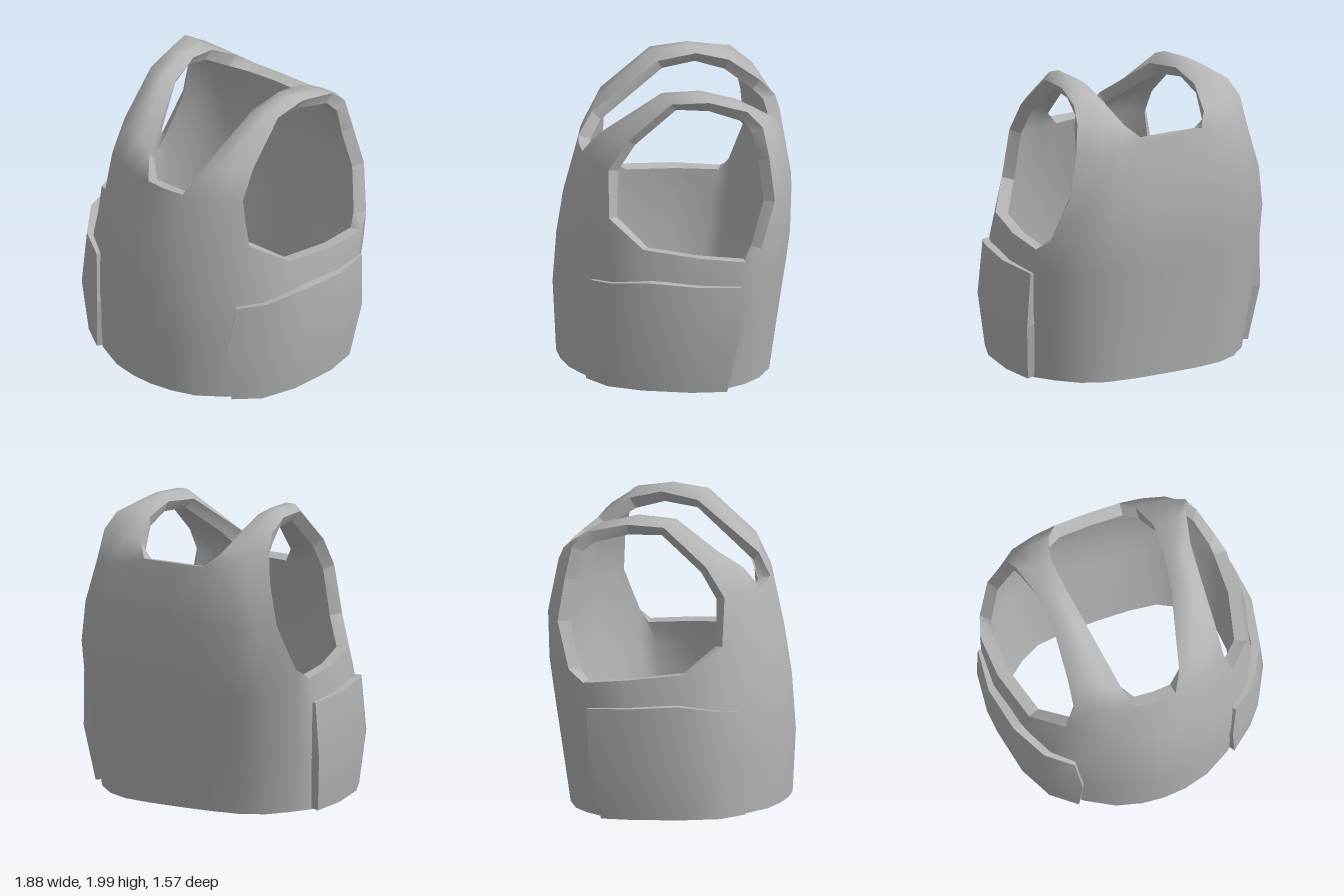
import * as THREE from 'three';

const fabric = new THREE.MeshStandardMaterial({ color: 0xb4b4b4 });
fabric.name = 'grey fabric';

// Cross-sections of the left half, each running from the middle outwards
const front = [
  [[0.15, 0.02, 0.755], [0.32, 0.02, 0.71], [0.5, 0.025, 0.61], [0.66, 0.03, 0.48]],
  [[0.16, 0.45, 0.775], [0.34, 0.45, 0.72], [0.54, 0.45, 0.61], [0.7, 0.45, 0.47]],
  [[0.16, 0.8, 0.75], [0.33, 0.8, 0.7], [0.53, 0.8, 0.59], [0.69, 0.8, 0.46]],
  [[0.15, 1.1, 0.705], [0.31, 1.12, 0.655], [0.46, 1.15, 0.58], [0.59, 1.18, 0.47]],
  [[0.14, 1.49, 0.605], [0.28, 1.49, 0.58], [0.41, 1.5, 0.54], [0.53, 1.5, 0.47]],
];
const strap = [
  [[0.2, 1.63, 0.51], [0.31, 1.69, 0.46], [0.43, 1.71, 0.43], [0.525, 1.7, 0.34]],
  [[0.31, 1.93, 0.06], [0.38, 1.98, 0.1], [0.45, 1.98, 0.1], [0.52, 1.95, 0.05]],
  [[0.35, 1.96, -0.2], [0.41, 2, -0.15], [0.47, 2, -0.15], [0.54, 1.96, -0.2]],
  [[0.36, 1.9, -0.42], [0.43, 1.94, -0.39], [0.52, 1.945, -0.4], [0.6, 1.91, -0.45]],
  [[0.31, 1.77, -0.62], [0.42, 1.8, -0.6], [0.53, 1.81, -0.59], [0.635, 1.81, -0.55]],
];
const back = [
  [[0.23, 1.69, -0.715], [0.38, 1.65, -0.71], [0.54, 1.6, -0.685], [0.67, 1.6, -0.59]],
  [[0.24, 1.32, -0.775], [0.48, 1.32, -0.755], [0.62, 1.32, -0.69], [0.74, 1.32, -0.62]],
  [[0.24, 1.0, -0.765], [0.48, 1.0, -0.745], [0.67, 1.0, -0.65], [0.83, 1.02, -0.52]],
  [[0.24, 0.8, -0.74], [0.47, 0.8, -0.72], [0.67, 0.8, -0.62], [0.82, 0.8, -0.5]],
  [[0.24, 0.45, -0.69], [0.46, 0.45, -0.67], [0.65, 0.45, -0.58], [0.79, 0.45, -0.46]],
  [[0.24, 0.01, -0.635], [0.44, 0.01, -0.61], [0.6, 0.01, -0.53], [0.73, 0.02, -0.42]],
];
// Points between the front and back panels, under the arm
const underArm = [
  [[0.76, 0.03, 0.27], [0.83, 0.03, -0.06], [0.81, 0.02, -0.28]],
  [[0.81, 0.45, 0.27], [0.885, 0.45, -0.08], [0.865, 0.45, -0.34]],
  [[0.8, 0.8, 0.26], [0.885, 0.8, -0.1], [0.875, 0.8, -0.37]],
  [[0.77, 1.02, 0.26], [0.86, 0.98, -0.1], [0.87, 0.945, -0.41]],
];
// Side pouch, rows from bottom to top, each from front to back
const pouch = [
  [[0.55, 0.03, 0.62], [0.71, 0.03, 0.49], [0.82, 0.035, 0.27], [0.88, 0.03, -0.05], [0.86, 0.02, -0.29]],
  [[0.53, 0.4, 0.645], [0.76, 0.4, 0.5], [0.89, 0.4, 0.25], [0.94, 0.4, -0.08], [0.91, 0.4, -0.36]],
  [[0.57, 0.74, 0.595], [0.74, 0.775, 0.47], [0.87, 0.82, 0.24], [0.93, 0.8, -0.08], [0.895, 0.775, -0.38]],
];

const mirror = (rows) => rows.map((row) => row.map(([x, y, z]) => [-x, y, z]).reverse());

// Weld grids of points into one sheet and thicken it inwards, closing its rims
function shell(grids, thickness) {
  const points = [], ids = new Map(), faces = [];
  const weld = (p) => {
    const key = p.map((v) => Math.round(v * 1000)).join();
    if (!ids.has(key)) {
      ids.set(key, points.length);
      points.push(p);
    }
    return ids.get(key);
  };
  for (const rows of grids) {
    for (let r = 0; r + 1 < rows.length; r++) {
      for (let c = 0; c + 1 < rows[r].length; c++) {
        const [a, b, d, e] = [rows[r][c], rows[r][c + 1], rows[r + 1][c + 1], rows[r + 1][c]].map(weld);
        faces.push([a, b, d], [a, d, e]);
      }
    }
  }
  const sheet = new THREE.BufferGeometry();
  sheet.setAttribute('position', new THREE.Float32BufferAttribute(points.flat(), 3));
  sheet.setIndex(faces.flat());
  sheet.computeVertexNormals();
  const normals = sheet.attributes.normal;
  const inner = points.map((p, i) => [
    p[0] - normals.getX(i) * thickness,
    Math.max(p[1] - normals.getY(i) * thickness, 0),
    p[2] - normals.getZ(i) * thickness,
  ]);

  const n = points.length;
  const position = [...points, ...inner];
  const index = [...faces, ...faces.map(([a, b, c]) => [a + n, c + n, b + n])];
  const edges = new Set();
  const sides = ([a, b, c]) => [[a, b], [b, c], [c, a]];
  for (const f of faces) for (const [a, b] of sides(f)) edges.add(`${a}_${b}`);
  for (const f of faces) {
    for (const [a, b] of sides(f)) {
      if (edges.has(`${b}_${a}`)) continue;
      const k = position.length;
      position.push(points[b], points[a], inner[a], inner[b]);
      index.push([k, k + 1, k + 2], [k, k + 2, k + 3]);
    }
  }
  const geometry = new THREE.BufferGeometry();
  geometry.setAttribute('position', new THREE.Float32BufferAttribute(position.flat(), 3));
  geometry.setIndex(index.flat());
  geometry.computeVertexNormals();
  return geometry;
}

export function createModel() {
  const group = new THREE.Group();
  group.name = 'vest';
  const add = (name, geometry) => {
    const mesh = new THREE.Mesh(geometry, fabric);
    mesh.name = name;
    group.add(mesh);
  };

  // Body: front, shoulder strap and back in one strip, plus centre and side panels
  const strip = [...front, ...strap, ...back];
  const centre = (rows, bulge) => rows.map(([p]) => [[0, p[1], p[2] + bulge], p]);
  const side = underArm.map((mid, i) => [front[i][3], ...mid, back[back.length - 1 - i][3]]);
  const half = [strip, centre(front, 0.012), centre(back, -0.006), side];
  add('vestBody', shell([...half, ...half.map(mirror)], 0.085));

  // Side pouches
  add('leftPouch', shell([pouch], 0.06));
  add('rightPouch', shell([mirror(pouch)], 0.06));
  return group;
}
